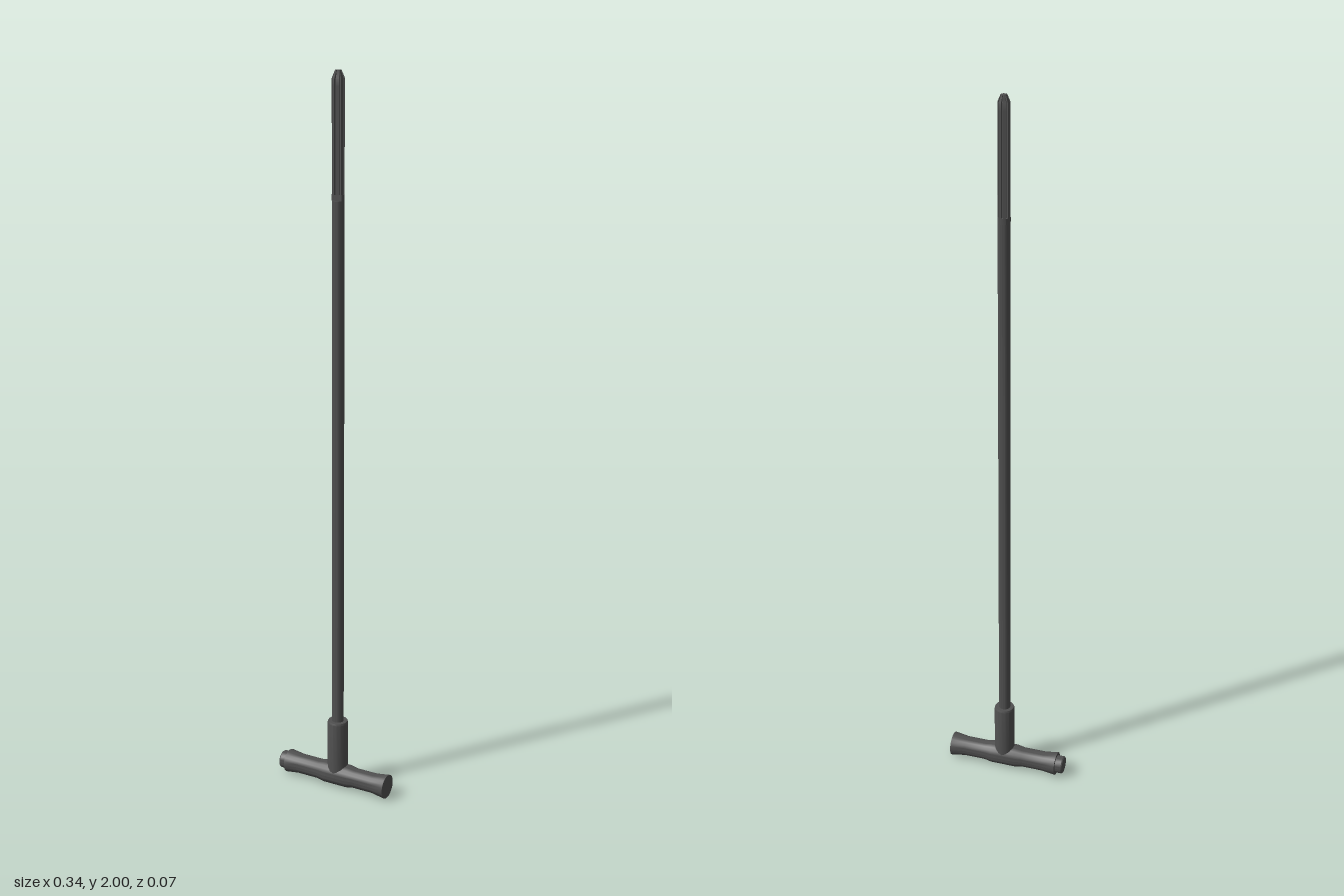
import * as THREE from 'three';
import { toCreasedNormals } from 'three/addons/utils/BufferGeometryUtils.js';

const AXIS_X = 0.01;   // shaft centre line
const GRIP_Y = 0.034;  // height of the grip axis
const SHAFT_R = 0.0165;

export function createModel() {
  const group = new THREE.Group();
  const material = new THREE.MeshStandardMaterial({ color: 0x505050 });

  const add = (name, geometry, x, y) => {
    const mesh = new THREE.Mesh(toCreasedNormals(geometry, 0.5), material);
    mesh.name = name;
    mesh.position.set(x, y, 0);
    group.add(mesh);
  };
  // Solid of revolution from [radius, position along the axis] pairs
  const turned = (pairs, segments) =>
    new THREE.LatheGeometry(pairs.map(([r, t]) => new THREE.Vector2(r, t)), segments);
  // Shape extruded upwards
  const raised = (shape, depth, steps = 1) =>
    new THREE.ExtrudeGeometry(shape, { depth, steps, bevelEnabled: false, curveSegments: 16 })
      .rotateX(-Math.PI / 2);

  // Crossbar grip, flared at both ends and swollen in the middle
  add('grip', turned([
    [0, -0.149], [0.033, -0.149], [0.028, -0.11], [0.028, -0.047], [0.032, -0.026],
    [0.032, 0.046], [0.028, 0.066], [0.028, 0.127], [0.034, 0.168], [0, 0.168],
  ], 20).rotateZ(-Math.PI / 2), 0, GRIP_Y);

  // Button on the right end of the grip
  add('endButton', turned([
    [0, -0.17], [0.023, -0.17], [0.025, -0.167], [0.025, -0.147], [0, -0.147],
  ], 20).rotateZ(-Math.PI / 2), 0, GRIP_Y);

  // Socket joining the grip and the shaft
  add('socket', turned([
    [0, 0.03], [0.029, 0.03], [0.029, 0.197], [0.027, 0.202], [0, 0.202],
  ], 16), AXIS_X, 0);

  // Long round shaft
  add('shaft', turned([[0, 0.19], [SHAFT_R, 0.19], [SHAFT_R, 1.673], [0, 1.673]], 16), AXIS_X, 0);

  // Short neck with a notch cut into its front
  const neck = new THREE.Shape();
  const cut = Math.PI / 3;
  neck.absarc(0, 0, SHAFT_R, -Math.PI / 2 + cut, Math.PI * 1.5 - cut, false);
  neck.closePath();
  add('notchedNeck', raised(neck, 0.016), AXIS_X, 1.673);

  // Fluted end with eight grooves, one facing the front
  const flutes = 8;
  const points = [];
  for (let i = 0; i < flutes; i++) {
    const middle = ((i + 0.5) / flutes) * Math.PI * 2;
    for (const [r, offset] of [[0.011, -0.27], [SHAFT_R, -0.24], [SHAFT_R, 0.24], [0.011, 0.27]]) {
      points.push(new THREE.Vector2(Math.cos(middle + offset) * r, Math.sin(middle + offset) * r));
    }
  }
  const length = 2 - 1.689;
  const fluted = raised(new THREE.Shape(points), length, 16);
  // Taper the last step into a blunt point
  const position = fluted.attributes.position;
  for (let i = 0; i < position.count; i++) {
    if (position.getY(i) > length - 0.005) {
      position.setX(i, position.getX(i) * 0.5);
      position.setZ(i, position.getZ(i) * 0.5);
    }
  }
  add('flutedEnd', fluted, AXIS_X, 1.689);

  return group;
}
